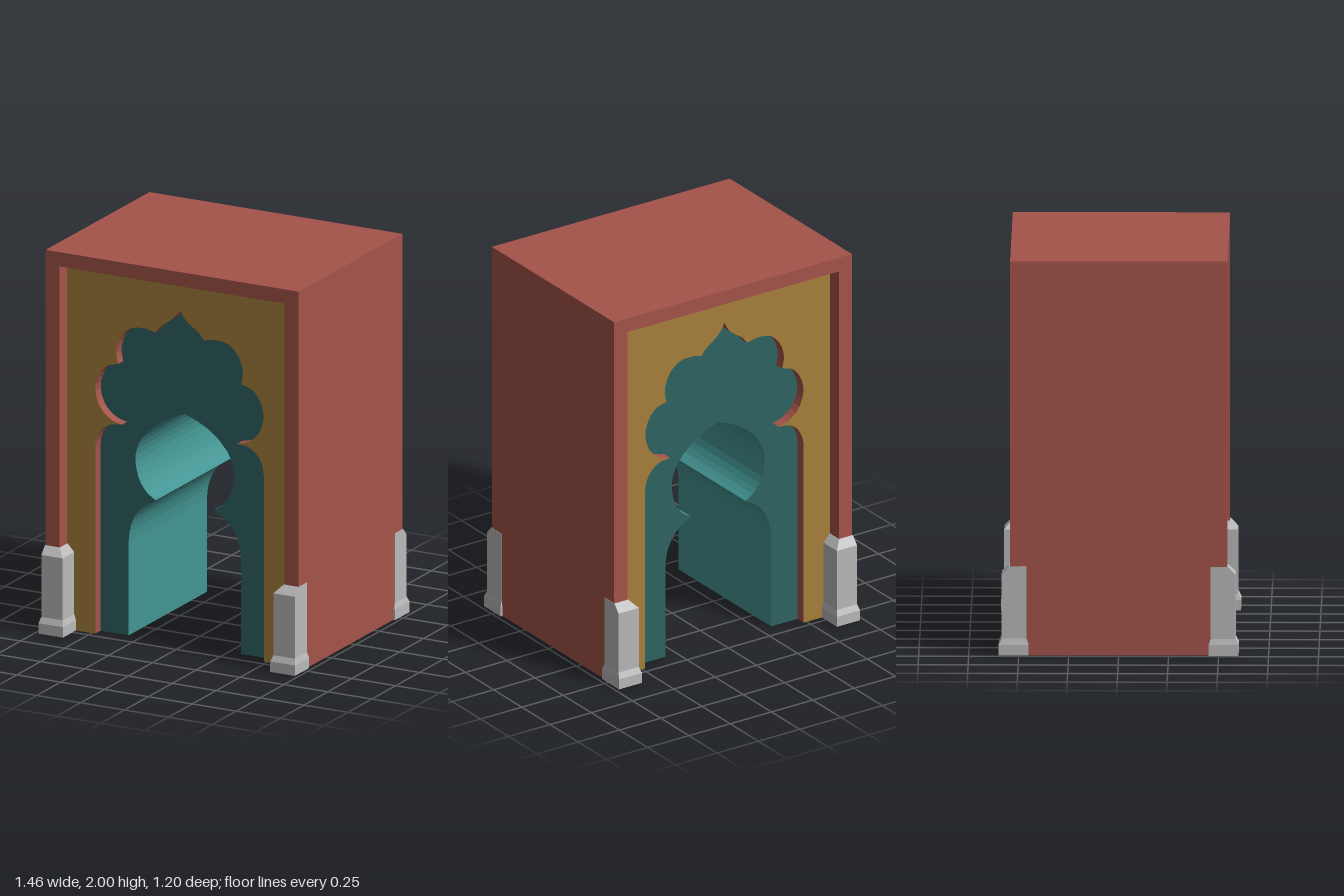
import * as THREE from 'three';

const mat = (name, color) => Object.assign(new THREE.MeshStandardMaterial({ color }), { name });

// Half outline made of smooth runs that meet in cusps, from foot to apex.
const DOOR = [
  [[0.32, 0.49], [0.312, 0.56], [0.285, 0.63], [0.235, 0.69], [0.165, 0.733]],
  [[0.165, 0.733], [0.215, 0.765], [0.258, 0.825], [0.28, 0.91], [0.273, 0.985], [0.235, 1.06], [0.17, 1.125], [0.09, 1.175], [0, 1.21]],
];
const NICHE = [
  [[0.48, 0.97], [0.472, 1.025], [0.44, 1.08], [0.39, 1.112], [0.328, 1.12]],
  [[0.328, 1.12], [0.39, 1.138], [0.45, 1.19], [0.479, 1.275], [0.462, 1.355], [0.415, 1.415], [0.35, 1.435]],
  [[0.35, 1.435], [0.361, 1.5], [0.335, 1.58], [0.275, 1.635], [0.2, 1.645], [0.138, 1.633]],
  [[0.138, 1.633], [0.11, 1.668], [0.05, 1.71], [0.02, 1.742], [0, 1.78]],
];

// Full arch from right foot over the apex to left foot.
function archPoints(runs) {
  const half = [new THREE.Vector2(runs[0][0][0], 0)];
  runs.forEach((run, i) => {
    const pts = new THREE.SplineCurve(run.map(p => new THREE.Vector2(...p))).getPoints(run.length * 2);
    half.push(...(i ? pts.slice(1) : pts));
  });
  const other = half.slice(0, -1).reverse().map(p => new THREE.Vector2(-p.x, p.y));
  return [...half, ...other];
}

// Rectangular wall with an opening that reaches the ground.
function wall(opening, z0, z1) {
  const outline = [[-0.72, 0], [-0.72, 2], [0.72, 2], [0.72, 0]].map(p => new THREE.Vector2(...p));
  const shape = new THREE.Shape([...outline, ...opening]);
  const geo = new THREE.ExtrudeGeometry(shape, { depth: z1 - z0, bevelEnabled: false });
  return geo.translate(0, 0, z0);
}

// Give the faces lining the opening their own material slot.
function splitLining(geo, limit) {
  const side = geo.groups.find(g => g.materialIndex === 1);
  const pos = geo.attributes.position;
  geo.groups = geo.groups.filter(g => g !== side);
  for (let i = side.start; i < side.start + side.count; i += 3) {
    const inside = [0, 1, 2].every(k => Math.abs(pos.getX(i + k)) < limit);
    geo.addGroup(i, 3, inside ? 2 : 1);
  }
  return geo;
}

// Corner post: rows of [y, inner x, outer x, inner z, outer z].
const POST = [
  [0, 0.59, 0.73, 0.45, 0.6],
  [0.055, 0.59, 0.73, 0.45, 0.6],
  [0.085, 0.6, 0.722, 0.46, 0.585],
  [0.41, 0.6, 0.722, 0.46, 0.585],
  [0.45, 0.637, 0.722, 0.46, 0.548],
];
function postGeometry(sx, sz) {
  const geo = new THREE.BoxGeometry(1, 1, 1, 1, POST.length - 1, 1).toNonIndexed();
  const pos = geo.attributes.position;
  for (let i = 0; i < pos.count; i++) {
    const row = POST[Math.round((pos.getY(i) + 0.5) * (POST.length - 1))];
    const x = sx * (pos.getX(i) * sx > 0 ? row[2] : row[1]);
    const z = sz * (pos.getZ(i) * sz > 0 ? row[4] : row[3]);
    pos.setXYZ(i, x, row[0], z);
  }
  geo.computeVertexNormals();
  return geo;
}

export function createModel() {
  const red = mat('brickRed', 0xa5544a);
  const ochre = mat('ochre', 0xa9813d);
  const teal = mat('darkTeal', 0x2f6463);
  const lining = mat('lightTeal', 0x439593);
  const stone = mat('greyStone', 0xbababa);

  const group = new THREE.Group();
  group.name = 'archedGateway';
  const add = (name, geo, material) => {
    const mesh = new THREE.Mesh(geo, material);
    mesh.name = name;
    group.add(mesh);
  };

  // Core block with the doorway passage
  const core = splitLining(wall(archPoints(DOOR), -0.41, 0.41), 0.33);
  add('gateCore', core, [teal, red, lining]);

  // Lobed panels and border frames on both faces
  const border = [[0.64, 0], [0.64, 1.925], [-0.64, 1.925], [-0.64, 0]].map(p => new THREE.Vector2(...p));
  for (const [side, s] of [['front', 1], ['back', -1]]) {
    const span = (a, b) => (s > 0 ? [a, b] : [-b, -a]);
    add(side + 'LobedPanel', wall(archPoints(NICHE), ...span(0.41, 0.465)), [ochre, red]);
    add(side + 'Border', wall(border, ...span(0.465, 0.543)), red);

    // Stone corner posts
    for (const [hand, sx] of [['Left', 1], ['Right', -1]]) {
      add(side + hand + 'Post', postGeometry(sx, s), stone);
    }
  }
  return group;
}
